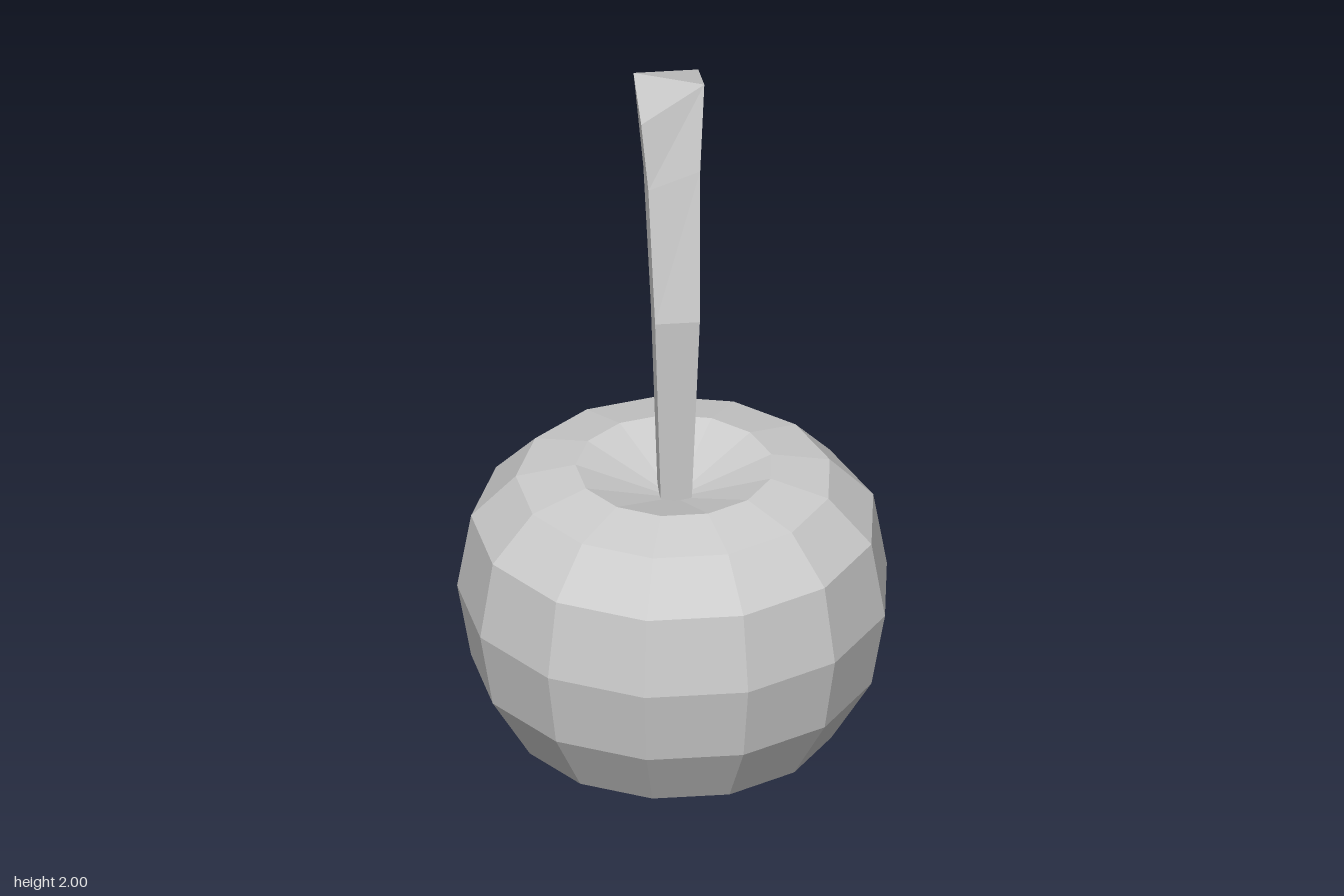
import * as THREE from 'three';

const SIDES = 13;

// Faceted fruit with a shallow dimple where the stem enters
function createFruit(material) {
  const profile = [
    [0, 0], [0.21, 0.027], [0.418, 0.143], [0.525, 0.322], [0.561, 0.53],
    [0.525, 0.74], [0.41, 0.86], [0.256, 0.896], [0, 0.8],
  ].map(([r, y]) => new THREE.Vector2(r, y));
  const fruit = new THREE.Mesh(new THREE.LatheGeometry(profile, SIDES, Math.PI), material);
  fruit.name = 'fruit';
  fruit.position.z = 0.005;
  return fruit;
}

// Joins four-cornered cross-sections, listed bottom to top, into a closed solid
function loft(sections) {
  const index = [];
  const quad = (a, b, c, d) => index.push(a, b, c, a, c, d);
  for (let s = 0; s < sections.length - 1; s++) {
    for (let i = 0; i < 4; i++) {
      const a = s * 4 + i, b = s * 4 + (i + 1) % 4;
      quad(a, b, b + 4, a + 4);
    }
  }
  const t = (sections.length - 1) * 4;
  quad(t + 1, t + 2, t + 3, t);
  quad(0, 3, 2, 1);
  const geometry = new THREE.BufferGeometry();
  geometry.setAttribute('position', new THREE.Float32BufferAttribute(sections.flat(2), 3));
  geometry.setIndex(index);
  geometry.computeVertexNormals();
  return geometry;
}

// Square stem, bending backwards and widening to a slanted cut
function createStem(material) {
  // Corners run front left, front right, back right, back left as seen from the front
  const level = (w, y, front, back) => [[-w, y, front], [w, y, front], [w, y, back], [-w, y, back]];
  const stem = new THREE.Mesh(loft([
    level(0.04, 0.81, 0.045, -0.04),
    level(0.058, 1.365, 0.075, -0.035),
    [[-0.069, 1.73, 0.012], [0.067, 1.77, -0.004], [0.067, 1.73, -0.115], [-0.069, 1.73, -0.115]],
    [[-0.085, 1.915, -0.012], [0.083, 2, -0.055], [0.083, 1.955, -0.207], [-0.085, 1.955, -0.207]],
  ]), material);
  stem.name = 'stem';
  return stem;
}

export function createModel() {
  const material = new THREE.MeshStandardMaterial({ color: 0xcccccc, flatShading: true });
  const group = new THREE.Group();
  group.name = 'fruitWithStem';
  group.add(createFruit(material), createStem(material));
  return group;
}
